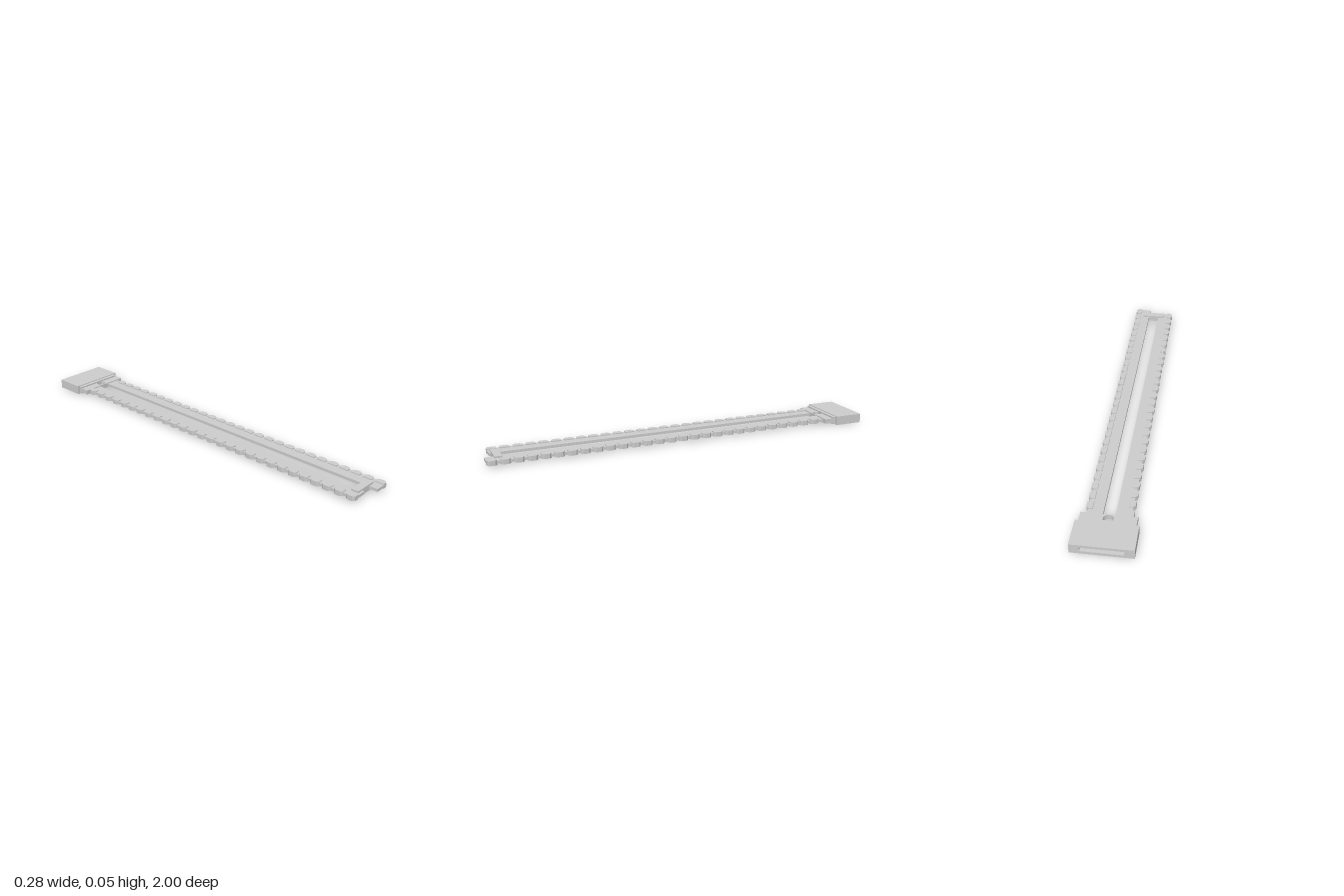
import * as THREE from 'three';

const MID_Y = 0.0235;

export function createModel() {
  const model = new THREE.Group();
  const material = new THREE.MeshStandardMaterial({ color: 0xcccccc, flatShading: true });

  const add = (name, geometry, x = 0, y = 0, z = 0) => {
    const mesh = new THREE.Mesh(geometry, material);
    mesh.name = name;
    mesh.position.set(x, y, z);
    model.add(mesh);
    return mesh;
  };
  const box = (name, w, h, z0, z1) =>
    add(name, new THREE.BoxGeometry(w, h, z1 - z0), 0, MID_Y, (z0 + z1) / 2);
  const polygon = (points) => new THREE.Shape(points.map(([x, y]) => new THREE.Vector2(x, y)));
  const rectangle = (w, h) =>
    polygon([[-w / 2, -h / 2], [w / 2, -h / 2], [w / 2, h / 2], [-w / 2, h / 2]]);
  const extrude = (shape, depth) =>
    new THREE.ExtrudeGeometry(shape, { depth, bevelEnabled: false, curveSegments: 12 });
  // Plan outlines use (x, z) and are extruded vertically about y = 0.
  const plan = (shape, height) =>
    extrude(shape, height).rotateX(Math.PI / 2).translate(0, height / 2, 0);

  // Rear housing with a rectangular socket open to the back
  const sleeve = rectangle(0.28, 0.047);
  sleeve.holes.push(rectangle(0.19, 0.02));
  add('housing', extrude(sleeve, 0.115), 0, MID_Y, -1);
  box('housingFront', 0.28, 0.047, -0.885, -0.853);
  box('collar', 0.254, 0.039, -0.853, -0.835);

  // Neck plate with a round hole partly tucked under the collar
  const neck = polygon([[-0.127, -0.845], [0.127, -0.845], [0.127, -0.79], [-0.127, -0.79]]);
  neck.holes.push(new THREE.Path().absarc(0, -0.818, 0.024, 0, Math.PI * 2, true));
  add('neckPlate', plan(neck, 0.024), 0, MID_Y, 0);

  // Cross clamp joining the front of the two rails
  box('crossClamp', 0.12, 0.032, 0.92, 0.957);

  // Toothed rails, staggered by half a pitch
  const pitch = 0.0635;
  const toothLength = 0.048;
  const tooth = plan(polygon([
    [0.078, 0], [0.097, 0], [0.108, 0.011], [0.108, toothLength - 0.011],
    [0.097, toothLength], [0.078, toothLength],
  ]), 0.024);
  for (const side of [1, -1]) {
    const label = side > 0 ? 'left' : 'right';
    const end = side > 0 ? 1 : 0.968;
    const rail = new THREE.BoxGeometry(0.072, 0.014, end + 0.79);
    add(label + 'Rail', rail, side * 0.064, MID_Y, (end - 0.79) / 2);

    const teeth = new THREE.Group();
    teeth.name = label + 'Teeth';
    for (let z = end - toothLength; z > -0.82; z -= pitch) {
      const mesh = new THREE.Mesh(tooth, material);
      mesh.name = 'tooth';
      mesh.position.set(0, MID_Y, z);
      // A half turn mirrors the symmetric tooth to the other side
      if (side < 0) {
        mesh.rotation.y = Math.PI;
        mesh.position.z = z + toothLength;
      }
      teeth.add(mesh);
    }
    model.add(teeth);
  }
  return model;
}
